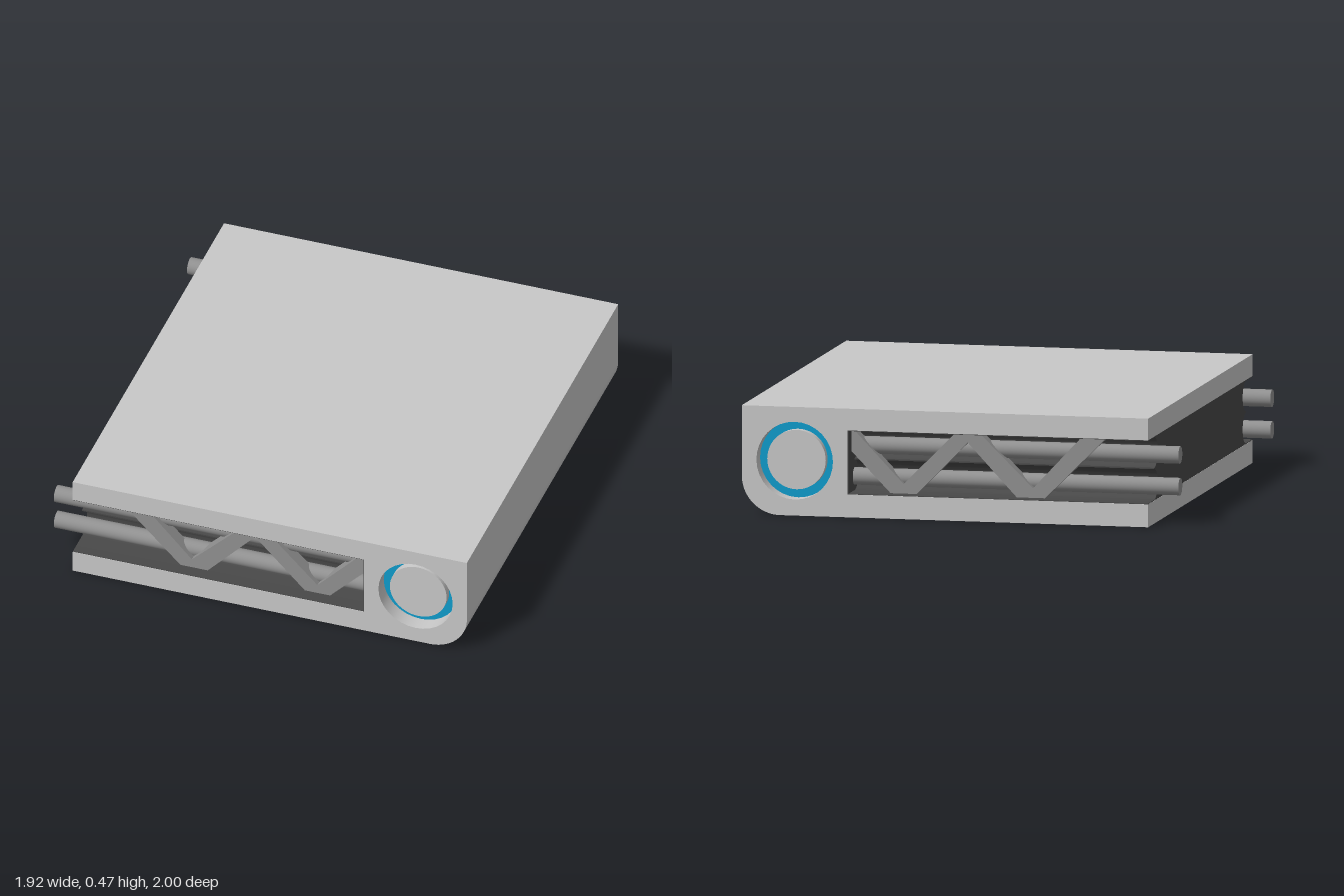
import * as THREE from 'three';
import { toCreasedNormals } from 'three/addons/utils/BufferGeometryUtils.js';

const material = (name, color) => Object.assign(new THREE.MeshStandardMaterial({ color }), { name });

export function createModel() {
  const shell = material('light grey shell', 0xc8c8c8);
  const metal = material('mid grey metal', 0x909090);
  const dark = material('dark grey core', 0x484848);
  const blue = material('blue ring', 0x0f9ccb);
  const model = new THREE.Group();
  model.name = 'panel';

  const add = (name, geometry, mat, parent = model) => {
    const mesh = new THREE.Mesh(geometry, mat);
    mesh.name = name;
    parent.add(mesh);
    return mesh;
  };
  const extrude = (shape, depth, curveSegments = 16) => toCreasedNormals(
    new THREE.ExtrudeGeometry(shape, { depth, bevelEnabled: false, curveSegments })
      .translate(0, 0, -depth / 2), 0.6);
  const polygon = (points) => new THREE.Shape(points.map(([x, y]) => new THREE.Vector2(x, y)));

  // Shell: rounded lower corner, slot open at the side, round bore
  const hub = { x: 0.725, y: 0.24, outer: 0.17, inner: 0.13 };
  const profile = new THREE.Shape();
  profile.moveTo(-0.845, 0);
  profile.lineTo(0.79, 0);
  profile.absarc(0.79, 0.17, 0.17, -Math.PI / 2, 0, false);
  profile.lineTo(0.96, 0.475);
  profile.lineTo(-0.845, 0.475);
  profile.lineTo(-0.845, 0.38);
  profile.lineTo(0.49, 0.38);
  profile.lineTo(0.49, 0.1);
  profile.lineTo(-0.845, 0.1);
  profile.closePath();
  const bore = new THREE.Path();
  bore.absarc(hub.x, hub.y, hub.outer, 0, Math.PI * 2, true);
  profile.holes.push(bore);
  add('shell', extrude(profile, 2), shell);

  // Core: fills the slot, with two grooves along each edge and thin slot liners
  const core = new THREE.Shape();
  const half = Math.PI / 2;
  core.moveTo(-0.998, 0.1);
  core.lineTo(0.998, 0.1);
  core.lineTo(0.998, 0.103);
  core.lineTo(0.88, 0.103);
  for (const y of [0.17, 0.31]) core.absarc(0.88, y, 0.067, -half, half, true);
  core.lineTo(0.998, 0.377);
  core.lineTo(0.998, 0.38);
  core.lineTo(-0.998, 0.38);
  core.lineTo(-0.998, 0.377);
  core.lineTo(-0.88, 0.377);
  for (const y of [0.31, 0.17]) core.absarc(-0.88, y, 0.067, half, -half, true);
  core.lineTo(-0.998, 0.103);
  core.closePath();
  const coreGeometry = extrude(core, 1.333).rotateY(Math.PI / 2).translate(-0.1775, 0, 0);
  add('core', coreGeometry, dark);
  add('slotEnd', new THREE.BoxGeometry(0.004, 0.28, 1.996).translate(0.488, 0.24, 0), dark);

  // Zigzag truss outline
  const truss = polygon([
    [-0.65, 0.38], [-0.37, 0.1], [-0.25, 0.1], [-0.03, 0.335], [0.2, 0.1], [0.31, 0.1],
    [0.49, 0.285], [0.49, 0.38], [0.48, 0.38], [0.255, 0.145], [0.02, 0.38], [-0.08, 0.38],
    [-0.32, 0.145], [-0.54, 0.38],
  ]);

  // Same fittings on the front and back edges
  for (const [side, s] of [['front', 1], ['back', -1]]) {
    const fittings = new THREE.Group();
    fittings.name = side + 'Fittings';
    model.add(fittings);

    for (const [level, y] of [['Lower', 0.165], ['Upper', 0.303]]) {
      const rod = add(side + level + 'Rod', new THREE.CylinderGeometry(0.038, 0.038, 1.45, 32), metal, fittings);
      rod.rotation.z = Math.PI / 2;
      rod.position.set(-0.235, y, s * 0.88);
    }

    add(side + 'Truss', extrude(truss, 0.06), metal, fittings).position.z = s * 0.91;

    // Blue ring at the bottom of the bore
    const ring = add(side + 'Ring', new THREE.RingGeometry(hub.inner - 0.005, hub.outer, 48), blue, fittings);
    ring.position.set(hub.x, hub.y, s * 0.93);
    if (s < 0) ring.rotation.y = Math.PI;
  }

  // Plug inside the bore, slightly recessed at both ends
  const plug = add('plug', new THREE.CylinderGeometry(hub.inner, hub.inner, 1.93, 48), shell);
  plug.rotation.x = Math.PI / 2;
  plug.position.set(hub.x, hub.y, 0);

  return model;
}
